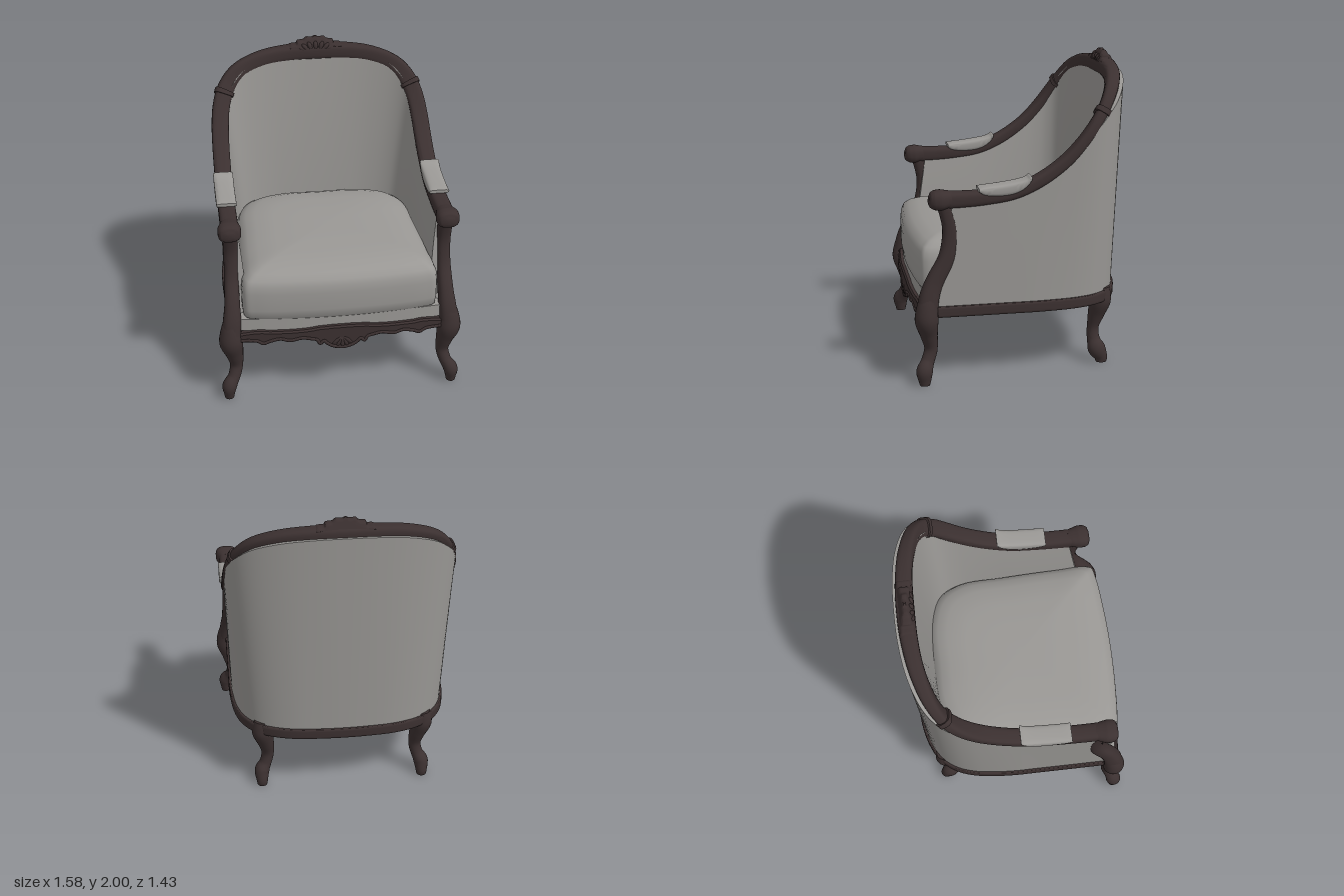
import * as THREE from 'three';
import { toCreasedNormals } from 'three/addons/utils/BufferGeometryUtils.js';

const V = (x, y, z) => new THREE.Vector3(x, y, z);
const curve = (pts, closed = false) => new THREE.CatmullRomCurve3(pts.map(p => V(p[0], p[1], p[2] ?? 0)), closed);
// left half of a path continued over the middle to the right
const mirrored = half => [...half, ...half.slice(0, -1).reverse().map(([x, y, z]) => [-x, y, z])];
const power = (v, e) => Math.sign(v) * Math.abs(v) ** e;

// skin over closed rings, with end caps
function loft(rings, crease = 0.8) {
  const [first, last] = [rings[0], rings[rings.length - 1]].map(r => {
    const c = V(0, 0, 0);
    r.forEach(p => c.add(p));
    c.divideScalar(r.length);
    return r.map(() => c);
  });
  const all = [first, ...rings, last], n = rings[0].length, index = [];
  for (let j = 0; j < all.length - 1; j++) {
    for (let i = 0; i < n; i++) {
      const a = j * n + i, b = j * n + (i + 1) % n;
      if (j > 0) index.push(a, b, a + n);
      if (j < all.length - 2) index.push(b, b + n, a + n);
    }
  }
  const g = new THREE.BufferGeometry();
  g.setAttribute('position', new THREE.Float32BufferAttribute(all.flat().flatMap(p => [p.x, p.y, p.z]), 3));
  g.setIndex(index);
  return toCreasedNormals(g, crease);
}

// sweep a rounded section along a path; radii follow the path, ref gives the first axis
function sweep(path, radii, { ref = () => V(1, 0, 0), round = 1, steps = 40, from = 0, to = 1, sides = 24 } = {}) {
  const rings = [];
  for (let j = 0; j <= steps; j++) {
    const t = from + (to - from) * j / steps;
    const p = path.getPoint(t), T = path.getTangent(t), r = radii.getPoint(t);
    const N = ref(p, T);
    N.addScaledVector(T, -N.dot(T)).normalize();
    const B = T.clone().cross(N);
    rings.push(Array.from({ length: sides }, (_, i) => {
      const a = (i + 0.5) / sides * Math.PI * 2;
      return p.clone().addScaledVector(N, r.x * power(Math.cos(a), round)).addScaledVector(B, r.y * power(Math.sin(a), round));
    }));
  }
  return loft(rings);
}

// move each vertex in z by a rule
function shiftZ(g, rule) {
  const p = g.attributes.position;
  for (let i = 0; i < p.count; i++) p.setZ(i, rule(p.getX(i), p.getY(i), p.getZ(i)));
  return toCreasedNormals(g, 0.6);
}
// forward bulge of the seat front
const bow = x => 0.035 * Math.max(0, 1 - (x / 0.65) ** 2);

export function createModel() {
  const model = new THREE.Group();
  model.name = 'armchair';
  const wood = new THREE.MeshStandardMaterial({ color: 0x3b3030, side: THREE.DoubleSide });
  wood.name = 'dark wood';
  const cloth = new THREE.MeshStandardMaterial({ color: 0x9a9895, side: THREE.DoubleSide });
  cloth.name = 'grey upholstery';
  const add = (name, g, m) => {
    const mesh = new THREE.Mesh(g, m);
    mesh.name = name;
    model.add(mesh);
  };
  const bead = (name, pos, size, roll = 0) => {
    const g = new THREE.SphereGeometry(1, 20, 14);
    g.scale(...size);
    g.rotateZ(roll);
    g.translate(...pos);
    add(name, g, wood);
  };

  // arm and crest rail in one run, with the matching base line below it
  const railPath = curve(mirrored([
    [.69, 1.18, .57], [.69, 1.178, .42], [.69, 1.186, .25], [.69, 1.211, .08], [.69, 1.278, -.08],
    [.688, 1.385, -.235], [.682, 1.497, -.345], [.665, 1.605, -.43], [.625, 1.705, -.5], [.54, 1.795, -.56],
    [.385, 1.856, -.61], [.195, 1.882, -.637], [0, 1.887, -.643]]));
  const basePath = curve(mirrored([
    [.70, .465, .59], [.70, .465, .45], [.70, .465, .27], [.70, .465, .1], [.70, .465, -.05],
    [.69, .465, -.2], [.67, .465, -.33], [.63, .465, -.44], [.56, .465, -.53], [.46, .465, -.59],
    [.32, .465, -.63], [.16, .465, -.645], [0, .465, -.65]]));
  const outward = p => V(p.x / .69, Math.max(0, (p.y - 1.4) / .49) ** 1.5, 0);
  const railSize = curve(mirrored([[0, .057, .054], [0, .056, .046], [0, .056, .04], [0, .057, .036], [0, .057, .038],
    [0, .054, .048], [0, .054, .056]]).map(([, a, b]) => [a, b]));
  add('crestRail', sweep(railPath, railSize, { ref: outward, round: .6, steps: 120 }), wood);
  const flat = (p, T) => V(-T.z, 0, T.x);
  add('baseRail', sweep(basePath, curve([[.028, .036], [.028, .036]]), { ref: flat, round: .3, steps: 80 }), wood);

  // upholstered shell between base and rail
  const rings = [];
  for (let j = 0; j <= 100; j++) {
    const t = j / 100, top = railPath.getPoint(t), low = basePath.getPoint(t);
    const n = flat(low, basePath.getTangent(t)).normalize();
    const back = Math.max(0, -n.z);
    top.z = Math.min(top.z, .47);
    low.y = .495;
    low.z = Math.min(low.z, .58);
    const at = (k, off) => low.clone().lerp(top, k).addScaledVector(n, off);
    const ring = [];
    for (let i = 8; i >= 0; i--) ring.push(at(i / 8, .012 + (.03 + .03 * back) * i / 8));
    for (let i = 0; i <= 8; i++) ring.push(at(i / 8, -.105 - .025 * back + (.06 + .025 * back) * (i / 8) ** 1.6));
    rings.push(ring);
  }
  add('backAndSides', loft(rings), cloth);

  // seat cushion: one outline stacked in layers
  const outline = curve([[0, 0, .7], [.3, 0, .69], [.55, 0, .665], [.62, 0, .64], [.625, 0, .4], [.61, 0, 0], [.59, 0, -.3],
    [.5, 0, -.46], [.3, 0, -.535], [0, 0, -.54], [-.3, 0, -.535], [-.5, 0, -.46], [-.59, 0, -.3], [-.61, 0, 0],
    [-.625, 0, .4], [-.62, 0, .64], [-.55, 0, .665], [-.3, 0, .69]], true).getPoints(90).slice(0, -1);
  const layers = [[.58, .97], [.595, .99], [.65, 1], [.77, 1], [.82, .99], [.855, .965], [.885, .9], [.91, .8], [.927, .6], [.937, .3], [.94, .05]];
  add('seatCushion', loft(layers.map(([y, s]) => outline.map(p => V(p.x * s, y, .08 + (p.z - .08) * s)))), cloth);
  const strip = new THREE.BoxGeometry(1.3, .085, .14, 24, 1, 1);
  strip.translate(0, .5425, .575);
  add('seatFrontBand', shiftZ(strip, (x, y, z) => z + bow(x)), cloth);

  // carved front apron: x, lower edge, upper edge
  const edge = mirrored([[.66, .43, .49], [.6, .43, .5], [.55, .425, .505], [.51, .405, .505], [.47, .42, .5], [.4, .435, .5],
    [.34, .42, .5], [.26, .435, .503], [.2, .425, .508], [.165, .415, .514], [.145, .385, .516], [.12, .405, .517], [.1, .385, .518],
    [.06, .36, .52], [0, .348, .52]]);
  const edgePath = curve(edge);
  add('frontApron', loft(edgePath.getPoints(140).map(({ x, y: low, z: high }) => {
    const z = .675 + bow(x);
    return [V(x, low, z - .06), V(x, low, z - .01), V(x, low + .012, z), V(x, high - .012, z), V(x, high, z - .01), V(x, high, z - .06)];
  }), .5), wood);
  add('apronMoulding', sweep(curve(edge.map(([x, y]) => [x, y + .012, .673 + bow(x)])), curve([[.012, .009], [.012, .009]]),
    { ref: () => V(0, 1, 0), steps: 140, sides: 10 }), wood);
  for (let i = -2; i <= 2; i++) {
    const a = i * .42;
    bead('apronShellRib', [Math.sin(a) * .05, .44 - Math.cos(a) * .045, .706], [.014, .04, .01], a);
  }

  // carved crest ornament, thinning to a ridge at the top
  const half = new THREE.SplineCurve([[0, 1.87], [.1, 1.9], [.185, 1.915], [.17, 1.94], [.13, 1.945], [.12, 1.965], [.08, 1.972],
    [.06, 1.99], [.025, 1.988], [0, 2]].map(p => new THREE.Vector2(...p))).getPoints(60);
  const crest = new THREE.ExtrudeGeometry(
    new THREE.Shape([...half, ...half.slice(1, -1).reverse().map(p => new THREE.Vector2(-p.x, p.y))]),
    { depth: .06, bevelThickness: .015, bevelSize: .015, bevelOffset: -.015, bevelSegments: 3 });
  add('crestOrnament', shiftZ(crest, (x, y, z) => -.64 + (z - .03) * (1 - .8 * Math.max(0, (y - 1.93) / .07))), wood);
  for (let i = -3; i <= 3; i++) {
    const a = i * .4;
    bead('crestRib', [Math.sin(a) * .095, 1.91 + Math.cos(a) * .022, -.61], [.018, .036, .022], -a);
  }

  for (const s of [1, -1]) {
    // rows: x, y, z, half width, half depth
    const limb = (name, rows, opt) => add(name, sweep(
      curve(rows.map(([x, y, z]) => [s * x, y, z])), curve(rows.map(r => [r[3], r[4]])), opt), wood);

    // cabriole legs
    limb('frontLeg', [[.742, 0, .66, .03, .032], [.742, .03, .66, .036, .04], [.738, .09, .66, .048, .052], [.705, .145, .635, .04, .042],
      [.686, .22, .612, .042, .042], [.697, .32, .625, .058, .056], [.716, .42, .64, .077, .074], [.715, .49, .635, .068, .068],
      [.705, .56, .62, .055, .06]]);
    limb('backLeg', [[.54, 0, -.53, .033, .036], [.54, .03, -.53, .038, .042], [.538, .09, -.5, .049, .058], [.512, .145, -.485, .04, .042],
      [.496, .22, -.482, .041, .038], [.508, .32, -.5, .054, .054], [.53, .42, -.52, .068, .07], [.53, .47, -.527, .062, .062],
      [.53, .515, -.53, .05, .05]]);

    // curved post under the arm
    limb('armPost', [[.712, .48, .635, .062, .066], [.703, .57, .618, .058, .062], [.697, .66, .585, .05, .056], [.693, .8, .512, .046, .052],
      [.69, .9, .488, .045, .05], [.69, 1.0, .484, .045, .048], [.69, 1.1, .505, .047, .046], [.69, 1.17, .53, .05, .045]], { round: .8 });

    // rounded hand rest at the end of the arm
    limb('handRest', [[.694, 1.182, .615, .03, .022], [.694, 1.181, .605, .058, .044], [.694, 1.18, .58, .072, .058],
      [.694, 1.18, .545, .074, .062], [.692, 1.181, .51, .066, .056], [.69, 1.18, .47, .054, .05]], { round: .75 });

    // carved collar around the rail
    const t = .5 - s * .178;
    add('railCollar', sweep(railPath, curve([[.066, .05], [.066, .05]]),
      { ref: outward, round: .6, steps: 4, from: t - .005, to: t + .005 }), wood);

    // padded arm rest with a raised back lip: z, top, underside
    const padPath = curve([[.31, 1.25, 1.228], [.28, 1.256, 1.208], [.2, 1.265, 1.195], [.1, 1.278, 1.202],
      [.04, 1.288, 1.226], [0, 1.3, 1.26], [-.012, 1.31, 1.278], [-.02, 1.312, 1.288]]);
    add('armPad', loft(padPath.getPoints(30).map(({ x: z, y: top, z: low }) => Array.from({ length: 24 }, (_, i) => {
      const a = (i + .5) / 24 * Math.PI * 2;
      return V(s * .692 + .065 * power(Math.cos(a), .5), (top + low) / 2 - (top - low) / 2 * power(Math.sin(a), .5), z);
    }))), cloth);
  }
  return model;
}
